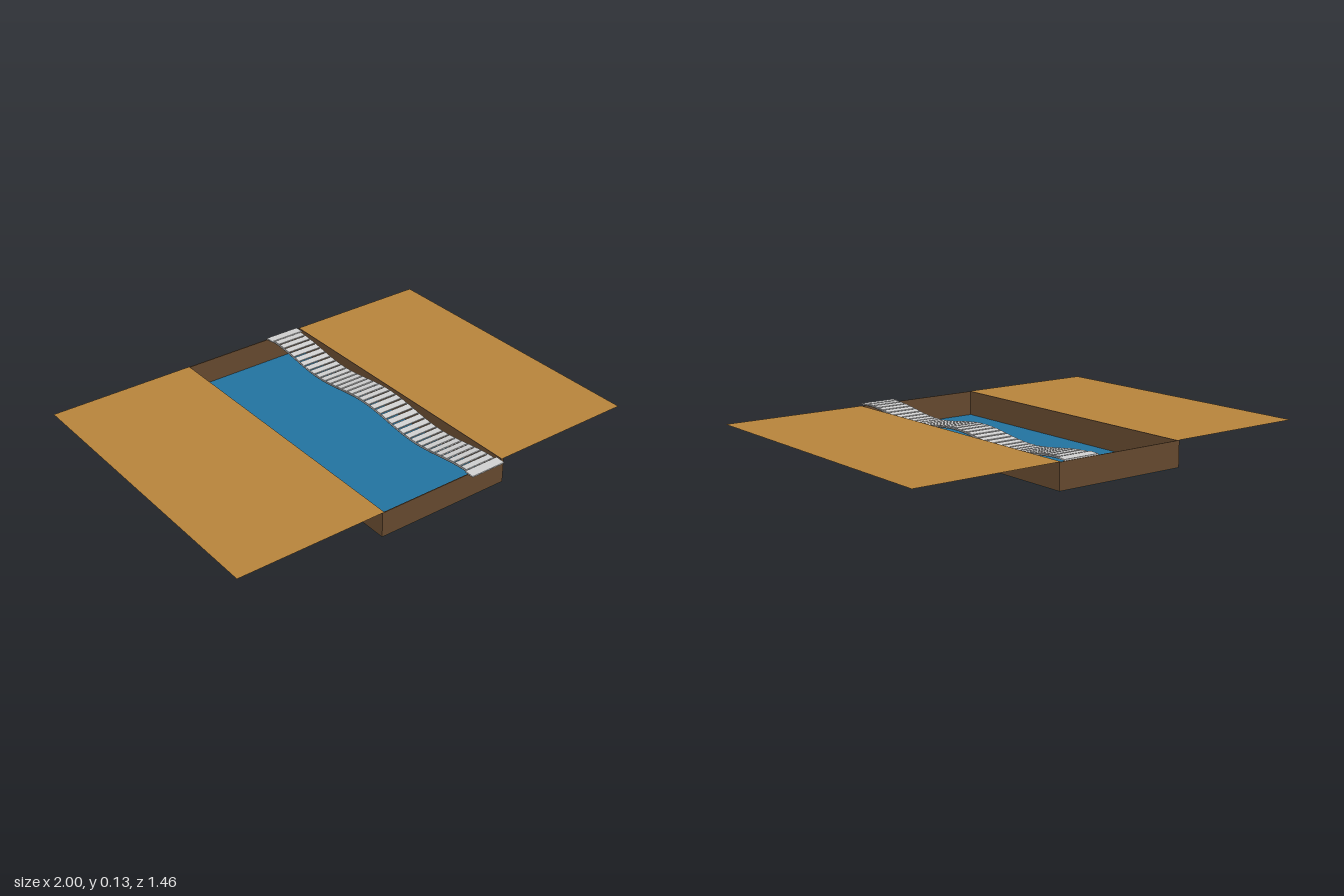
import * as THREE from 'three';

const mat = (name, color, side = THREE.FrontSide) => {
  const m = new THREE.MeshStandardMaterial({ color, side });
  m.name = name;
  return m;
};

export function createModel() {
  const sand = mat('sand', 0xb8843c, THREE.DoubleSide);
  const water = mat('water', 0x2273a0, THREE.DoubleSide);
  const earth = mat('earth', 0x664a2f);
  const plankGrey = mat('plank grey', 0xd0d0d0);
  const ropeGrey = mat('rope grey', 0x9c9c9c);

  const model = new THREE.Group();
  const add = (parent, name, geometry, material, x, y, z) => {
    const mesh = new THREE.Mesh(geometry, material);
    mesh.name = name;
    mesh.position.set(x, y, z);
    parent.add(mesh);
    return mesh;
  };

  const back = -0.73, front = 0.70;
  const length = front - back, midZ = (front + back) / 2;
  const halfWidth = 0.32, top = 0.117;

  // Flat river banks
  const sheet = (w) => new THREE.PlaneGeometry(w, length).rotateX(-Math.PI / 2);
  for (const side of [-1, 1]) {
    const inner = 0.312;
    add(model, side > 0 ? 'leftBank' : 'rightBank', sheet(1 - inner), sand,
      side * (1 + inner) / 2, top, midZ);
  }

  // Water on the channel floor
  add(model, 'water', sheet(halfWidth * 2), water, 0, 0, midZ);

  // Channel walls
  const wallH = top - 0.002, wallY = 0.001 + wallH / 2;
  for (const side of [-1, 1]) {
    add(model, side > 0 ? 'leftWall' : 'rightWall',
      new THREE.BoxGeometry(0.01, wallH, length), earth,
      side * (halfWidth - 0.005), wallY, midZ);
    add(model, side > 0 ? 'frontWall' : 'backWall',
      new THREE.BoxGeometry(halfWidth * 2 - 0.02, wallH, 0.004), earth,
      0, wallY, side > 0 ? front - 0.002 : back + 0.002);
  }

  // Footbridge hanging in two shallow sags
  const bridge = new THREE.Group();
  bridge.name = 'bridge';
  model.add(bridge);
  const bridgeX = 0.208, period = 0.68, amp = 0.016;
  const k = 2 * Math.PI / period;
  const deckY = (z) => 0.106 + amp * Math.cos(k * z);
  const slope = (z) => -amp * k * Math.sin(k * z);

  // Planks follow the slope of the deck
  const plank = new THREE.BoxGeometry(0.15, 0.005, 0.032);
  const count = 34, pitch = 1.365 / count;
  for (let i = 0; i < count; i++) {
    const z = (i - (count - 1) / 2) * pitch;
    add(bridge, 'plank', plank, plankGrey, bridgeX, deckY(z), z)
      .rotation.x = -Math.atan(slope(z));
  }

  // Wide landing boards at both ends
  for (const side of [-1, 1]) {
    add(bridge, 'landing', new THREE.BoxGeometry(0.172, 0.006, 0.045), plankGrey,
      bridgeX, 0.121, side * 0.707).rotation.x = side * 0.05;
  }

  // Side ropes under the plank ends
  const points = [];
  for (let i = 0; i <= 32; i++) {
    const z = -0.70 + 1.4 * i / 32;
    points.push(new THREE.Vector3(0, deckY(z) - 0.003, z));
  }
  const rope = new THREE.TubeGeometry(new THREE.CatmullRomCurve3(points), 64, 0.004, 6);
  for (const side of [-1, 1]) {
    add(bridge, 'rope', rope, ropeGrey, bridgeX + side * 0.075, 0, 0);
  }

  return model;
}
